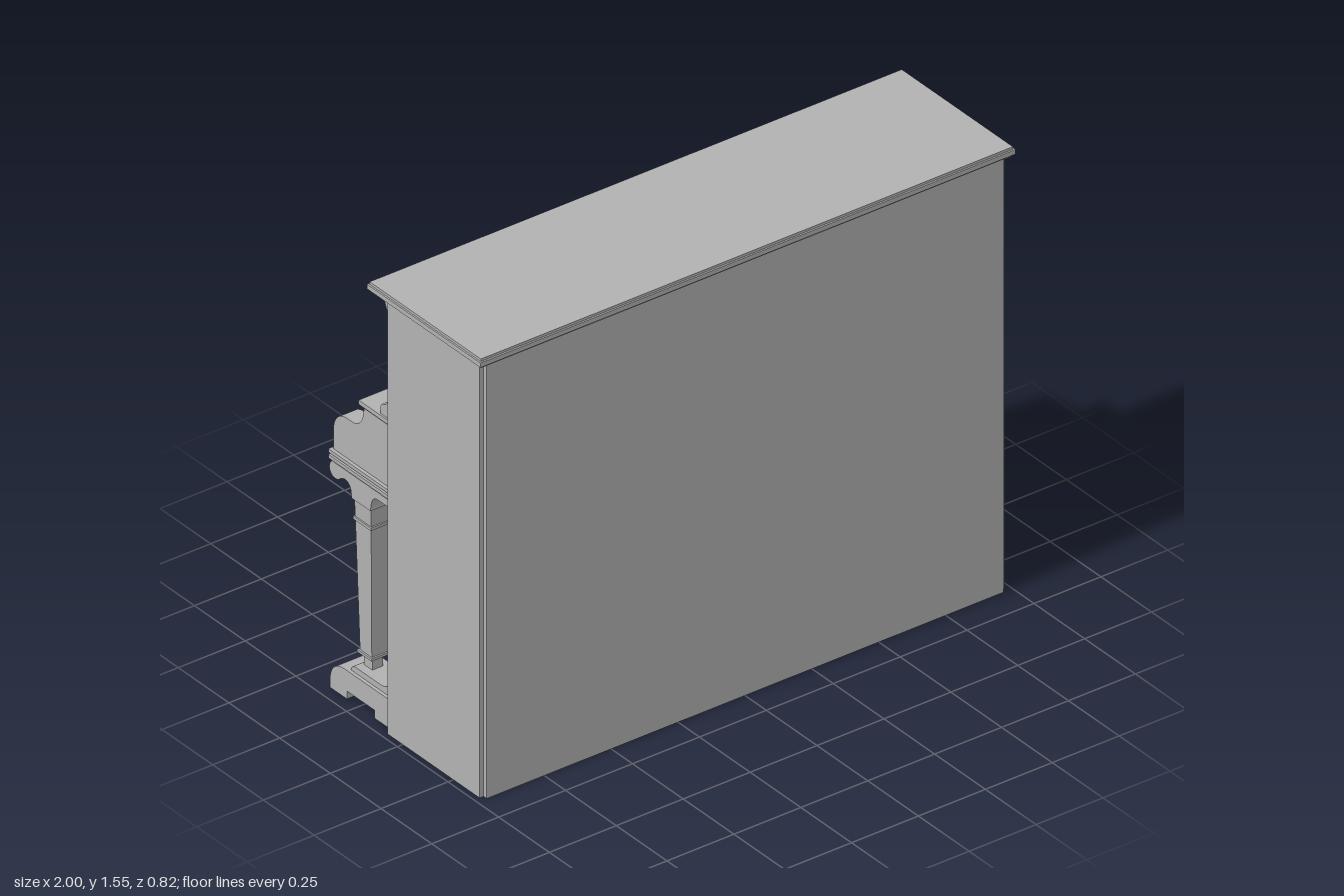
import * as THREE from 'three';
import { toCreasedNormals } from 'three/addons/utils/BufferGeometryUtils.js';

export function createModel() {
  const piano = new THREE.Group();
  piano.name = 'uprightPiano';
  const grey = new THREE.MeshStandardMaterial({ color: 0xb2b2b2 });
  grey.name = 'grey';

  const add = (name, geometry, parent = piano) => {
    const mesh = new THREE.Mesh(geometry, grey);
    mesh.name = name;
    parent.add(mesh);
    return mesh;
  };
  // Box given by its limits on each axis
  const box = (name, x0, x1, y0, y1, z0, z1, parent) => {
    const mesh = add(name, new THREE.BoxGeometry(x1 - x0, y1 - y0, z1 - z0), parent);
    mesh.position.set((x0 + x1) / 2, (y0 + y1) / 2, (z0 + z1) / 2);
    return mesh;
  };
  // Side profile (distance towards the keyboard side, height) extruded from x0 to x1
  const profile = (name, shape, x0, x1, parent) => {
    const g = new THREE.ExtrudeGeometry(shape, { depth: x1 - x0, bevelEnabled: false, curveSegments: 10 });
    g.rotateY(Math.PI / 2).translate(x0, 0, 0);
    return add(name, toCreasedNormals(g, 0.6), parent);
  };
  const rectangle = (Type, x0, x1, y0, y1) => new Type([[x0, y0], [x1, y0], [x1, y1], [x0, y1]]
    .map(([x, y]) => new THREE.Vector2(x, y)));

  // Cabinet with sunk front panels
  box('cabinet', -0.965, 0.965, 0, 1.525, -0.078, 0.395);
  const frame = rectangle(THREE.Shape, -0.965, 0.965, 0, 1.525);
  frame.holes.push(rectangle(THREE.Path, -0.785, 0.785, 0.17, 0.64));
  frame.holes.push(rectangle(THREE.Path, -0.785, 0.785, 1.16, 1.43));
  const frontFrame = add('frontFrame', new THREE.ExtrudeGeometry(frame, { depth: 0.012, bevelEnabled: false }));
  frontFrame.position.z = -0.09;
  for (const [y0, y1] of [[0.17, 0.64], [1.16, 1.43]]) {
    box('sunkPanel', -0.77, 0.77, y0 + 0.015, y1 - 0.015, -0.083, -0.078);
  }
  box('cornice', -0.9, 0.9, 1.485, 1.525, -0.105, -0.09);

  // Lid in three steps
  for (const [inset, y0, y1] of [[0.01, 1.52, 1.53], [0, 1.53, 1.546], [0.006, 1.546, 1.555]]) {
    box('lid', -1 + inset, 1 - inset, y0, y1, -0.15 + inset, 0.41 - inset);
  }

  // Shelf above the keys
  box('shelfMoulding', -0.95, 0.95, 1.052, 1.061, -0.238, -0.09);
  box('shelf', -0.957, 0.957, 1.061, 1.076, -0.247, -0.09);
  box('fallboard', -0.88, 0.88, 0.83, 1.053, -0.228, -0.09);

  // Key bed in steps
  for (const [x, y0, y1, z] of [[0.945, 0.785, 0.8, -0.388], [0.957, 0.8, 0.812, -0.397],
    [0.948, 0.812, 0.82, -0.39], [0.957, 0.82, 0.832, -0.397]]) {
    box('keyBed', -x, x, y0, y1, z, -0.09);
  }
  box('keySlip', -0.88, 0.88, 0.832, 0.882, -0.386, -0.366);

  // Keyboard
  const keyWidth = 1.55 / 52;
  box('whiteKeys', -0.775, 0.775, 0.832, 0.9, -0.366, -0.228);
  const blackKeys = new THREE.Group();
  blackKeys.name = 'blackKeys';
  piano.add(blackKeys);
  for (let i = 0; i < 51; i++) {
    if (i % 7 === 1 || i % 7 === 4) continue;
    const x = 0.775 - (i + 1) * keyWidth;
    box('blackKey', x - 0.008, x + 0.008, 0.9, 0.915, -0.325, -0.228, blackKeys);
  }

  // Cheek outline beside the keys
  const cheek = new THREE.Shape();
  cheek.moveTo(0.09, 0.83);
  cheek.lineTo(0.388, 0.83);
  cheek.lineTo(0.388, 0.9);
  cheek.bezierCurveTo(0.385, 0.945, 0.36, 0.97, 0.32, 0.971);
  cheek.lineTo(0.285, 0.972);
  cheek.bezierCurveTo(0.255, 0.98, 0.24, 1.0, 0.236, 1.055);
  cheek.lineTo(0.09, 1.055);

  // Bracketed post beside the upper panel
  const upperPost = new THREE.Shape();
  upperPost.moveTo(0.085, 1.07);
  upperPost.lineTo(0.148, 1.07);
  upperPost.lineTo(0.148, 1.1);
  upperPost.quadraticCurveTo(0.146, 1.115, 0.13, 1.115);
  upperPost.quadraticCurveTo(0.112, 1.12, 0.11, 1.16);
  upperPost.lineTo(0.108, 1.41);
  upperPost.bezierCurveTo(0.112, 1.46, 0.122, 1.45, 0.13, 1.485);
  upperPost.lineTo(0.13, 1.525);
  upperPost.lineTo(0.085, 1.525);

  // Post beside the lower panel, flared into the foot
  const lowerPost = new THREE.Shape();
  lowerPost.moveTo(0.085, 0.1);
  lowerPost.lineTo(0.3, 0.1);
  lowerPost.quadraticCurveTo(0.298, 0.119, 0.28, 0.12);
  lowerPost.lineTo(0.15, 0.12);
  lowerPost.quadraticCurveTo(0.11, 0.125, 0.108, 0.16);
  lowerPost.lineTo(0.108, 0.76);
  lowerPost.lineTo(0.085, 0.76);

  // Scrolled bracket under the key bed
  const bracket = new THREE.Shape();
  bracket.moveTo(0.085, 0.787);
  bracket.lineTo(0.085, 0.757);
  bracket.lineTo(0.18, 0.757);
  bracket.quadraticCurveTo(0.205, 0.75, 0.207, 0.712);
  bracket.lineTo(0.303, 0.712);
  bracket.bezierCurveTo(0.305, 0.75, 0.335, 0.76, 0.36, 0.738);
  bracket.bezierCurveTo(0.38, 0.72, 0.41, 0.73, 0.412, 0.757);
  bracket.quadraticCurveTo(0.41, 0.78, 0.39, 0.787);

  // Foot with an arched toe and a gap beneath
  const foot = new THREE.Shape();
  foot.moveTo(0.085, 0);
  foot.lineTo(0.17, 0);
  foot.lineTo(0.17, 0.028);
  foot.lineTo(0.305, 0.028);
  foot.lineTo(0.305, 0);
  foot.lineTo(0.388, 0);
  foot.lineTo(0.388, 0.04);
  foot.quadraticCurveTo(0.38, 0.095, 0.32, 0.1);
  foot.lineTo(0.085, 0.1);

  // Square leg sections: height and half width
  const legSteps = [[0.115, 0.02], [0.163, 0.02], [0.163, 0.035], [0.172, 0.035], [0.172, 0.029],
    [0.628, 0.039], [0.628, 0.044], [0.638, 0.044], [0.638, 0.039], [0.7, 0.041], [0.7, 0.047], [0.715, 0.047]];
  const legGeometry = () => {
    const points = legSteps.map(([y, r]) => new THREE.Vector2(r * Math.SQRT2, y));
    const g = new THREE.LatheGeometry(points, 4).rotateY(Math.PI / 4).toNonIndexed();
    g.computeVertexNormals();
    return g;
  };

  for (const [side, s] of [['left', 1], ['right', -1]]) {
    const group = new THREE.Group();
    group.name = side + 'Support';
    piano.add(group);
    const span = (a, b) => (s > 0 ? [a, b] : [-b, -a]);
    box('sidePanel', ...span(0.96, 0.98), 0, 1.525, -0.075, 0.38, group);
    profile('cheek', cheek, ...span(0.88, 0.945), group);
    box('keyBlock', ...span(0.775, 0.88), 0.832, 0.915, -0.38, -0.228, group);
    profile('upperPost', upperPost, ...span(0.88, 0.95), group);
    profile('lowerPost', lowerPost, ...span(0.848, 0.945), group);
    profile('bracket', bracket, ...span(0.848, 0.942), group);
    profile('foot', foot, ...span(0.837, 0.957), group);
    const leg = add('leg', legGeometry(), group);
    leg.position.set(s * 0.895, 0, -0.255);
  }

  // Pedals: narrow stems widening into rounded pads
  const pedal = new THREE.Shape();
  pedal.moveTo(-0.012, 0.08);
  pedal.lineTo(-0.012, 0.13);
  pedal.bezierCurveTo(-0.03, 0.15, -0.03, 0.19, 0, 0.19);
  pedal.bezierCurveTo(0.03, 0.19, 0.03, 0.15, 0.012, 0.13);
  pedal.lineTo(0.012, 0.08);
  for (const x of [-0.12, 0, 0.12]) {
    const g = new THREE.ExtrudeGeometry(pedal, { depth: 0.014, bevelEnabled: false, curveSegments: 8 });
    g.rotateX(-Math.PI / 2);
    add('pedal', toCreasedNormals(g, 0.6)).position.set(x, 0.03, 0);
  }
  return piano;
}
